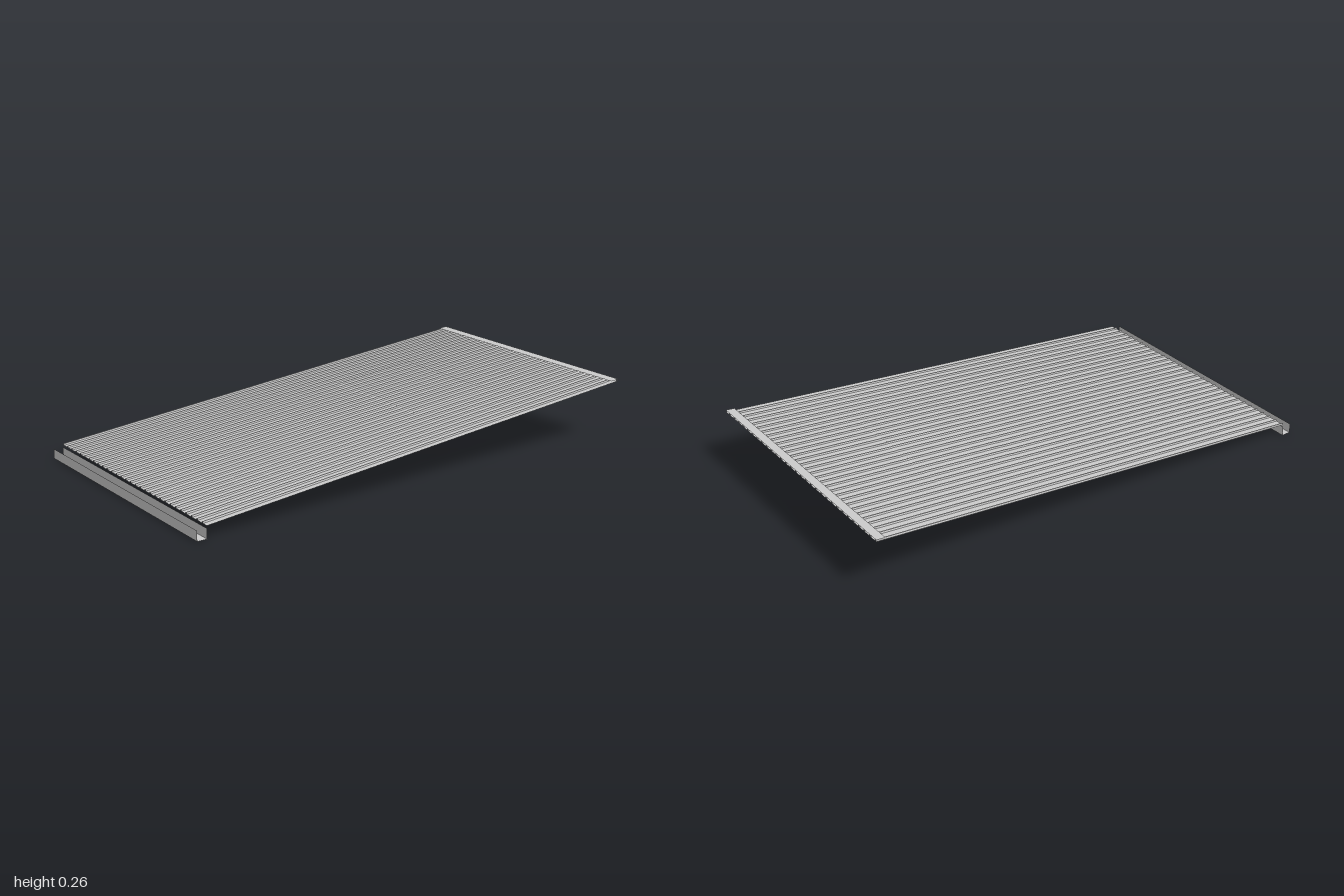
import * as THREE from 'three';

const WIDTH = 1.12, HALF = WIDTH / 2, RIBS = 30, PITCH = WIDTH / RIBS, RIB_H = 0.006;

// Height of the pan (the low flats) along the slope
const slopeY = z => 0.05 + (0.96 - z) * (0.203 / 1.96);

// Trapezoid rib cross-section between two x positions, as [x, height] points
function ribProfile(x0, x1) {
  const points = [];
  for (let i = 0; i < RIBS; i++) {
    const x = -HALF + i * PITCH;
    [[0, 0], [0.002, 0], [0.0045, RIB_H], [0.0085, RIB_H], [0.011, 0]]
      .forEach(([dx, h]) => points.push([x + dx, h]));
  }
  points.push([HALF, 0]);
  return points.filter(([x]) => x >= x0 - 1e-6 && x <= x1 + 1e-6);
}

// Quad strip joining two rows of points with the same count
function strip(name, rowA, rowB) {
  const index = [], n = rowA.length;
  for (let i = 0; i < n - 1; i++) index.push(i, i + 1, n + i, i + 1, n + i + 1, n + i);
  const geometry = new THREE.BufferGeometry();
  geometry.setAttribute('position', new THREE.Float32BufferAttribute([...rowA, ...rowB].flat(), 3));
  geometry.setIndex(index);
  const flat = geometry.toNonIndexed();
  flat.computeVertexNormals();
  const material = new THREE.MeshStandardMaterial({
    color: 0xcccccc, flatShading: true, side: THREE.DoubleSide,
  });
  const mesh = new THREE.Mesh(flat, material);
  mesh.name = name;
  return mesh;
}

// Corrugated sheet following the slope
function ribbedSheet(name, x0, x1, zFront, zBack, lift) {
  const profile = ribProfile(x0, x1);
  const row = z => profile.map(([x, h]) => [x, slopeY(z) + h + lift, z]);
  return strip(name, row(zFront), row(zBack));
}

// Thin bent sheet running the full width; path is a list of [y, z]
function foldedSheet(name, path) {
  const row = x => path.map(([y, z]) => [x, y, z]);
  return strip(name, row(-HALF), row(HALF));
}

export function createModel() {
  const model = new THREE.Group();
  model.name = 'corrugatedRoof';

  model.add(ribbedSheet('roofSheet', -HALF, HALF, 0.96, -1, 0));

  // Shallow overlay patch lying on the sheet
  model.add(ribbedSheet('patchSheet', -0.31, 0.25, -0.2, -0.58, 0.001));

  // Flat flashing over the top edge
  model.add(foldedSheet('ridgeFlashing', [[0.257, -0.963], [0.261, -1]]));

  // Open channel below the lower edge
  model.add(foldedSheet('gutter', [[0.04, 1], [0, 1], [0, 0.96], [0.04, 0.96]]));

  return model;
}
